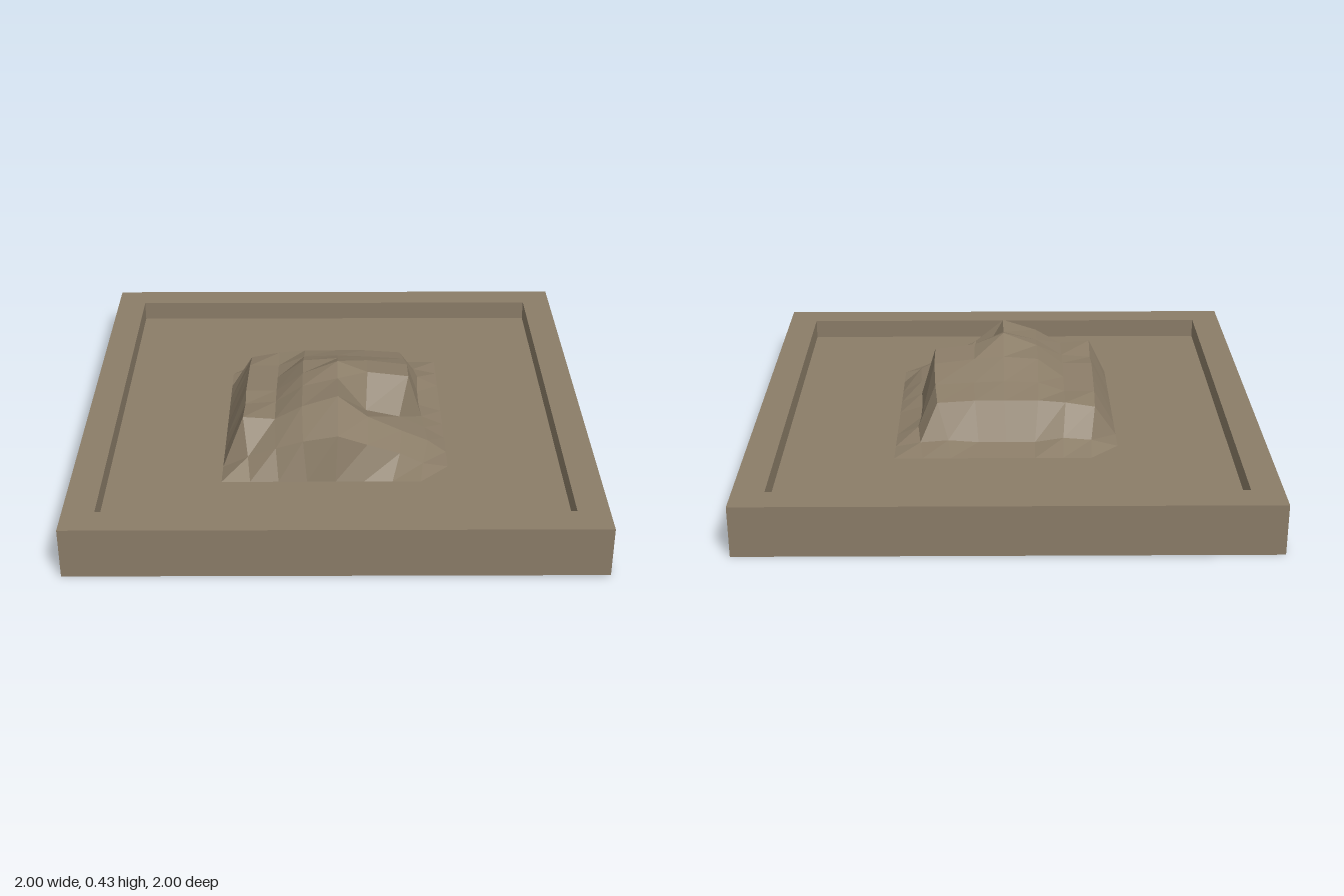
import * as THREE from 'three';

const FLOOR = 0.12;
const INNER = 1.76;
const CELLS = 16;

// Mound heights in hundredths: rows run back to front, columns right to left (-x to +x)
const HEIGHTS = [
  [15, 16, 14, 14, 14, 15, 14],
  [25, 27, 28, 28, 28, 27, 16],
  [27, 27, 31, 31.5, 31, 30, 15],
  [28, 28, 36, 37, 36, 34, 15],
  [29, 29, 37, 42.5, 37.5, 35.5, 16],
  [28, 29, 36, 39.5, 25, 22, 17],
  [30, 29, 35, 39.5, 30, 23, 18],
  [18, 23, 27, 30, 25, 20, 14],
];
// Sideways push of each column and row, growing with height
const PUSH_X = [-0.035, -0.02, -0.02, 0.01, 0.02, 0.075, 0.12];
const PUSH_Z = [-0.05, -0.03, -0.02, 0, 0.02, 0, 0.035, 0.08];

function rockyFloor() {
  const grid = new THREE.PlaneGeometry(INNER, INNER, CELLS, CELLS).rotateX(-Math.PI / 2);
  const pos = grid.attributes.position;
  HEIGHTS.forEach((row, r) => row.forEach((h, c) => {
    const i = (r + 5) * (CELLS + 1) + c + 5;
    const y = h / 100;
    const t = Math.min(1, (y - FLOOR) / 0.2);
    pos.setXYZ(i, pos.getX(i) + PUSH_X[c] * t, y - FLOOR, pos.getZ(i) + PUSH_Z[r] * t);
  }));
  const flat = grid.toNonIndexed();
  flat.computeVertexNormals();
  return flat;
}

function square(Path, size) {
  const s = size / 2;
  return new Path([[-s, -s], [s, -s], [s, s], [-s, s]].map(([x, y]) => new THREE.Vector2(x, y)));
}

export function createModel() {
  const model = new THREE.Group();
  model.name = 'rockTray';
  const stone = new THREE.MeshStandardMaterial({ color: 0x8b7d68 });
  stone.name = 'stone';
  stone.flatShading = true;

  const add = (name, geometry, y) => {
    const mesh = new THREE.Mesh(geometry, stone);
    mesh.name = name;
    mesh.position.y = y;
    model.add(mesh);
  };

  // Raised square rim
  const outline = square(THREE.Shape, 2);
  outline.holes.push(square(THREE.Path, INNER));
  const rim = new THREE.ExtrudeGeometry(outline, { depth: 0.2, bevelEnabled: false });
  add('rim', rim.rotateX(-Math.PI / 2), 0);

  // Slab closing the underside
  add('base', new THREE.BoxGeometry(INNER, 0.1, INNER), 0.05);

  // Sunken floor rising into a faceted rock mound
  add('floorAndMound', rockyFloor(), FLOOR);

  return model;
}
